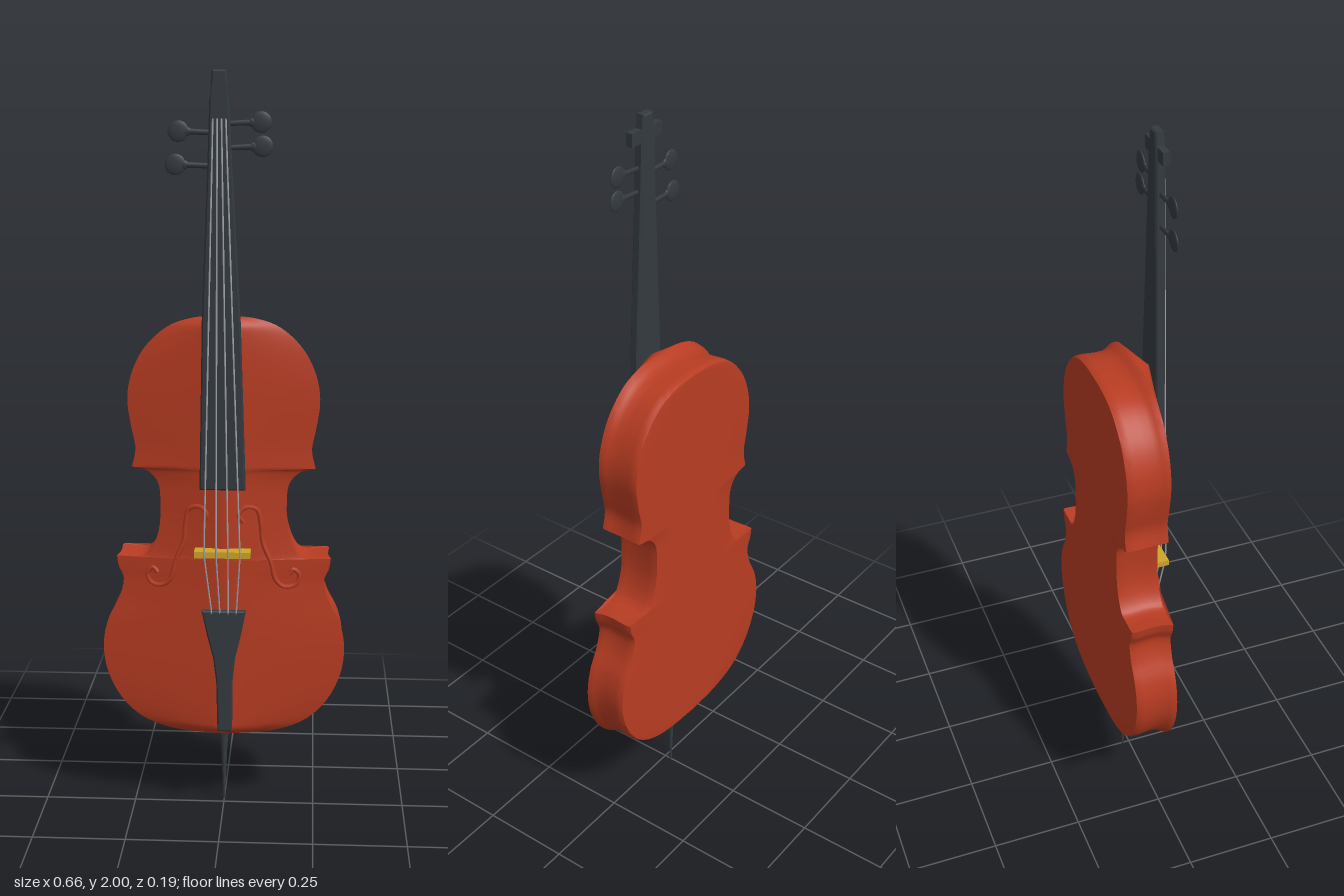
import * as THREE from 'three';
import { toCreasedNormals } from 'three/addons/utils/BufferGeometryUtils.js';

const V2 = (p) => new THREE.Vector2(p[0], p[1]);

// Right half of the body outline: three curves that meet in sharp corners
const BOUTS = [
  [[0, 1.377], [0.08, 1.371], [0.15, 1.346], [0.21, 1.29], [0.245, 1.22], [0.256, 1.15], [0.247, 1.08], [0.236, 1.02], [0.246, 0.968]],
  [[0.246, 0.968], [0.205, 0.958], [0.176, 0.925], [0.17, 0.87], [0.174, 0.80], [0.194, 0.742], [0.225, 0.716], [0.29, 0.72]],
  [[0.29, 0.72], [0.285, 0.69], [0.272, 0.655], [0.286, 0.6], [0.316, 0.54], [0.33, 0.47], [0.32, 0.39], [0.28, 0.31], [0.215, 0.252], [0.12, 0.221], [0, 0.213]],
];

function bodyOutline() {
  const half = [];
  BOUTS.forEach((bout, i) => {
    const pts = new THREE.SplineCurve(bout.map(V2)).getPoints(36);
    half.push(...(i ? pts.slice(1) : pts));
  });
  const left = half.slice(1, -1).reverse().map((p) => new THREE.Vector2(-p.x, p.y));
  return [...half, ...left];
}

// Height of the arched top; s is 0 on the centre line and 1 at the edge
function archZ(s, y) {
  const end = Math.min(y - 0.213, 1.377 - y);
  const ramp = Math.sqrt(Math.min(1, Math.max(0, end) / 0.025));
  return 0.018 + 0.038 * (1 - s) * ramp;
}

// Closed loft from the flat back, up the ribs and over the arched top
function bodyGeometry() {
  const outline = bodyOutline();
  const rings = [];
  const ring = (sx, sy, z) => rings.push(outline.map((p) => [p.x * sx, 0.79 + (p.y - 0.79) * sy, z]));
  for (const s of [0, 0.5, 0.95]) ring(s, 0.955, -0.098);
  for (const [sx, sy, z] of [[0.975, 0.962, -0.097], [0.985, 0.968, -0.09], [0.985, 0.97, -0.075], [0.975, 0.966, -0.04],
    [0.978, 0.968, -0.015], [0.988, 0.98, 0.0], [1, 0.997, 0.012]]) ring(sx, sy, z);
  for (const s of [1, 0.95, 0.85, 0.7, 0.5, 0.3, 0.12, 0]) rings.push(outline.map((p) => [p.x * s, p.y, archZ(s, p.y)]));

  const n = outline.length;
  const index = [];
  for (let i = 0; i < rings.length - 1; i++) {
    for (let j = 0; j < n; j++) {
      const a = i * n + j, b = i * n + ((j + 1) % n), c = b + n, d = a + n;
      index.push(a, d, b, b, d, c);
    }
  }
  const g = new THREE.BufferGeometry();
  g.setAttribute('position', new THREE.Float32BufferAttribute(rings.flat(2), 3));
  g.setIndex(index);
  return toCreasedNormals(g, 0.6);
}

// Half width of the body at a given height, for laying details on the top
function widthAt(y) {
  let best = 1, w = 0.2;
  for (const bout of BOUTS) {
    for (const p of new THREE.SplineCurve(bout.map(V2)).getPoints(30)) {
      if (Math.abs(p.y - y) < best) { best = Math.abs(p.y - y); w = p.x; }
    }
  }
  return w;
}

// Flat plate mirrored about its own centre line, from [halfWidth, y] pairs
function plate(profile, z0, z1) {
  const pts = [...profile.map(([w, y]) => [w, y]), ...profile.map(([w, y]) => [-w, y]).reverse()];
  // the fittings lean very slightly off the centre line
  const shape = new THREE.Shape(pts.map(([x, y]) => new THREE.Vector2(x + 0.008 - 0.008 * y, y)));
  const bevel = 0.004;
  const g = new THREE.ExtrudeGeometry(shape, {
    depth: z1 - z0 - 2 * bevel, bevelThickness: bevel, bevelSize: bevel, bevelOffset: -bevel, bevelSegments: 1,
  });
  return g.translate(0, 0, z0 + bevel);
}

export function createModel() {
  const varnish = new THREE.MeshStandardMaterial({ color: 0xb83c22 });
  varnish.name = 'red varnish';
  const ebony = new THREE.MeshStandardMaterial({ color: 0x343a40 });
  ebony.name = 'ebony';
  const maple = new THREE.MeshStandardMaterial({ color: 0xcfa42a });
  maple.name = 'golden maple';
  const steel = new THREE.MeshStandardMaterial({ color: 0xa4a9ae });
  steel.name = 'string steel';

  const model = new THREE.Group();
  model.name = 'cello';
  const add = (name, geometry, material, parent = model) => {
    const mesh = new THREE.Mesh(geometry, material);
    mesh.name = name;
    parent.add(mesh);
    return mesh;
  };

  add('body', bodyGeometry(), varnish);

  // Sound holes: scrolled strips following the arch
  const scroll = [[0.055, 0.825], [0.043, 0.845], [0.06, 0.866], [0.09, 0.86], [0.101, 0.82], [0.106, 0.77], [0.128, 0.715],
    [0.142, 0.665], [0.165, 0.645], [0.195, 0.65], [0.206, 0.675], [0.19, 0.693], [0.178, 0.68]];
  for (const side of [1, -1]) {
    const path = new THREE.CatmullRomCurve3(scroll.map(([x, y]) =>
      new THREE.Vector3(side * x, y, archZ(Math.min(1, x / widthAt(y)), y) + 0.001)));
    add(side > 0 ? 'leftSoundHole' : 'rightSoundHole', new THREE.TubeGeometry(path, 70, 0.0065, 6), varnish);
  }

  // Fingerboard, neck and head in one tapering plate
  add('neck', plate([[0.061, 0.92], [0.05, 1.37], [0.03, 1.8], [0.025, 1.93], [0.018, 2.0]], 0.054, 0.079), ebony);
  const crossbar = add('headCrossbar', new THREE.BoxGeometry(0.116, 0.034, 0.018), ebony);
  crossbar.position.set(-0.007, 1.948, 0.068);

  // Tailpiece
  add('tailpiece', plate([[0.02, 0.238], [0.022, 0.38], [0.03, 0.45], [0.045, 0.51], [0.06, 0.583]], 0.052, 0.071), ebony);

  // Tuning pegs: shaft, collar and flat knob
  for (const [x, y] of [[0.098, 1.868], [0.102, 1.808], [-0.112, 1.845], [-0.12, 1.762]]) {
    const side = Math.sign(x);
    const peg = new THREE.Group();
    peg.name = 'peg';
    peg.position.set(0, y, 0.067);
    peg.rotation.z = side * 0.04;
    const length = Math.abs(x);
    const shaft = add('pegShaft', new THREE.CylinderGeometry(0.008, 0.006, length, 8), ebony, peg);
    shaft.rotation.z = -side * Math.PI / 2;
    shaft.position.x = x / 2;
    shaft.scale.z = 0.6;
    const collar = add('pegCollar', new THREE.SphereGeometry(0.012, 10, 8), ebony, peg);
    collar.position.x = x - side * 0.022;
    collar.scale.z = 0.4;
    const knob = add('pegKnob', new THREE.SphereGeometry(0.027, 16, 10), ebony, peg);
    knob.position.x = x;
    knob.scale.set(1, 1, 0.2);
    model.add(peg);
  }

  // Bridge
  const bridge = add('bridge', new THREE.BoxGeometry(0.15, 0.017, 0.045), maple);
  bridge.position.set(0, 0.745, 0.068);

  // Strings run from the tailpiece over the bridge to the head
  for (const k of [-1.5, -0.5, 0.5, 1.5]) {
    const path = new THREE.CurvePath();
    const points = [[k * 0.022 + 0.004, 0.575, 0.069], [k * 0.032, 0.745, 0.092], [k * 0.011 - 0.007, 1.88, 0.08]]
      .map((p) => new THREE.Vector3(...p));
    path.add(new THREE.LineCurve3(points[0], points[1]));
    path.add(new THREE.LineCurve3(points[1], points[2]));
    add('string', new THREE.TubeGeometry(path, 24, 0.0022, 6), steel);
  }

  // Endpin
  const pin = [[0, 0], [0.003, 0], [0.005, 0.06], [0.008, 0.14], [0.012, 0.2], [0.016, 0.25], [0, 0.25]].map(V2);
  add('endpin', toCreasedNormals(new THREE.LatheGeometry(pin, 14), 0.6), ebony).position.z = -0.02;

  return model;
}
